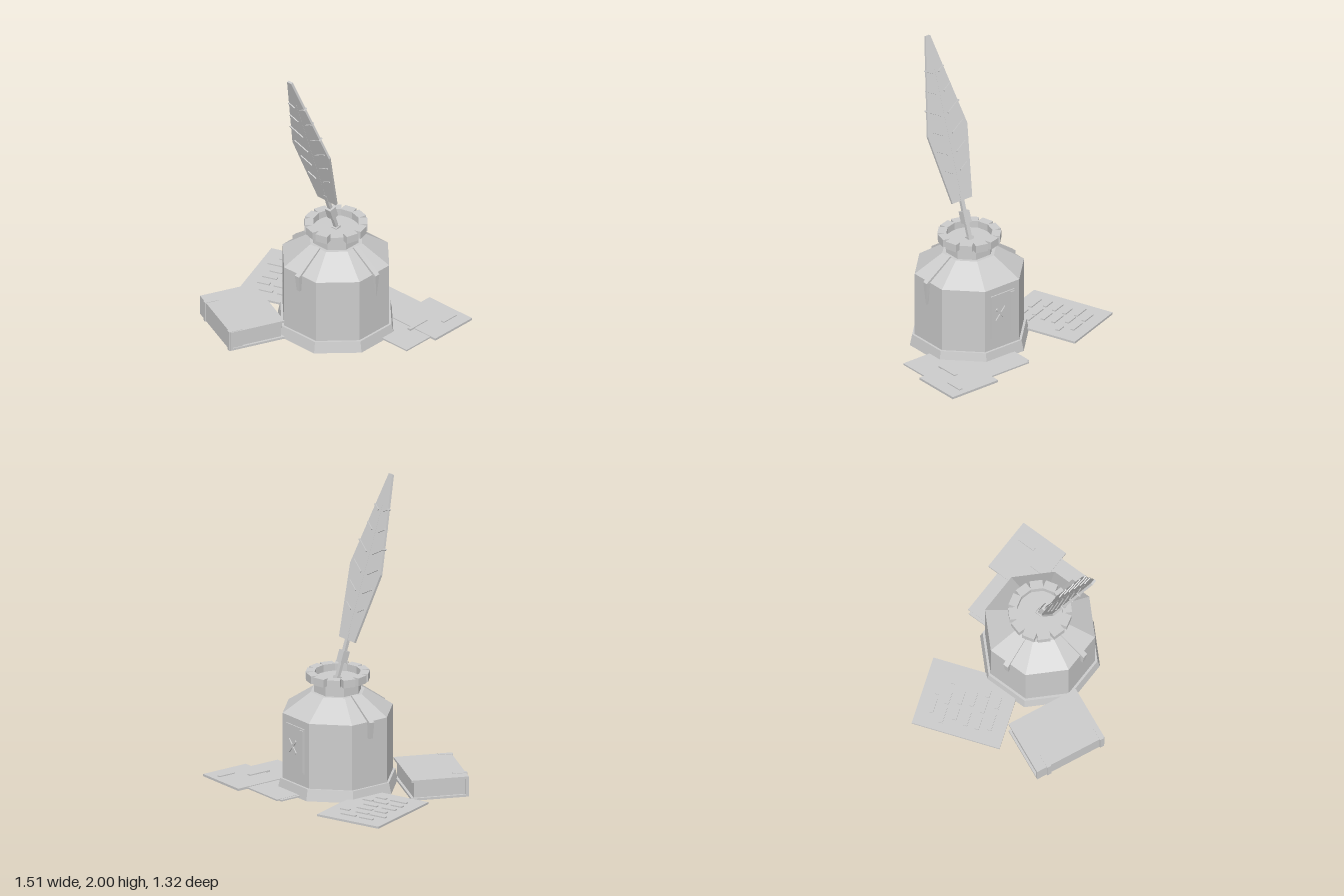
import * as THREE from 'three';

const gray = new THREE.MeshStandardMaterial({ color: 0xcccccc, flatShading: true });
gray.name = 'plain gray';

function add(parent, name, geometry, x = 0, y = 0, z = 0) {
  const mesh = new THREE.Mesh(geometry, gray);
  mesh.name = name;
  mesh.position.set(x, y, z);
  parent.add(mesh);
  return mesh;
}

function group(parent, name, x, y, z) {
  const g = new THREE.Group();
  g.name = name;
  g.position.set(x, y, z);
  parent.add(g);
  return g;
}

const box = (w, h, d) => new THREE.BoxGeometry(w, h, d);

// Box given by its low and high corners
function slab(parent, name, x0, x1, y0, y1, z0, z1) {
  return add(parent, name, box(x1 - x0, y1 - y0, z1 - z0), (x0 + x1) / 2, (y0 + y1) / 2, (z0 + z1) / 2);
}

// Octagonal frustum sized by its flats, flats facing the axes
function octagon(parent, name, bottom, top, y0, y1) {
  const k = 1 / Math.cos(Math.PI / 8);
  const geo = new THREE.CylinderGeometry(top * k, bottom * k, y1 - y0, 8).rotateY(Math.PI / 8);
  return add(parent, name, geo, 0, (y0 + y1) / 2, 0);
}

// Ink run that follows the shoulder and hangs down the wall, narrowing to its tip
function drip(parent, angle, bottom, tip) {
  const shape = new THREE.Shape([
    [0.15, 0.625], [0.33, 0.5], [0.33, bottom], [0.352, bottom], [0.363, 0.51], [0.17, 0.645],
  ].map(p => new THREE.Vector2(...p)));
  const geo = new THREE.ExtrudeGeometry(shape, { depth: 0.036, bevelEnabled: false }).translate(0, 0, -0.018);
  const pos = geo.attributes.position;
  for (let i = 0; i < pos.count; i++) {
    if (pos.getY(i) < 0.49) pos.setZ(i, pos.getZ(i) * tip);
  }
  geo.computeVertexNormals();
  add(parent, 'inkDrip', geo).rotation.y = angle;
}

function buildBottle(root) {
  const bottle = group(root, 'inkBottle', 0.135, 0, -0.055);
  octagon(bottle, 'base', 0.365, 0.35, 0, 0.075);
  octagon(bottle, 'body', 0.335, 0.335, 0.07, 0.51);
  octagon(bottle, 'shoulder', 0.335, 0.165, 0.51, 0.635);
  octagon(bottle, 'neck', 0.143, 0.143, 0.63, 0.715);

  // Rim of twelve blocks
  const rim = group(bottle, 'rim', 0, 0.736, 0);
  for (let i = 0; i < 12; i++) {
    const geo = box(0.082, 0.052, 0.057).translate(0, 0, 0.172);
    add(rim, 'rimBlock', geo).rotation.y = (i + 0.5) * Math.PI / 6;
  }

  drip(bottle, 0, 0.35, 0.15);
  drip(bottle, -Math.PI / 2, 0.4, 0.75);
  drip(bottle, Math.PI, 0.4, 0.75);

  // Label on the back
  const label = group(bottle, 'label', 0, 0.31, -0.335);
  slab(label, 'labelPlate', -0.095, 0.095, -0.15, 0.15, -0.008, 0.004);
  slab(label, 'labelStrip', -0.09, -0.06, -0.14, 0.14, -0.016, 0);
  for (const s of [-1, 1]) {
    add(label, 'crossBar', box(0.11, 0.014, 0.012), 0.02, 0.01, -0.01).rotation.z = s * 0.85;
  }
}

function buildQuill(root) {
  const quill = group(root, 'quill', 0.135, 0.85, -0.013);
  quill.rotation.x = 0.325;
  slab(quill, 'stem', -0.013, 0.013, -0.2, 0.16, -0.011, 0.011);
  slab(quill, 'collar', -0.025, 0.025, -0.04, 0.04, -0.025, 0.025);
  slab(quill, 'nib', -0.02, 0.02, -0.17, -0.13, -0.02, 0.02);

  // Vane
  const outline = new THREE.Shape([
    [-0.08, 0.111], [0.08, 0.111], [0.16, 0.58], [0.018, 1.21], [-0.018, 1.21], [-0.16, 0.58],
  ].map(p => new THREE.Vector2(...p)));
  const vane = new THREE.ExtrudeGeometry(outline, { depth: 0.016, bevelEnabled: false });
  add(quill, 'vane', vane.translate(0, 0, -0.008));
  slab(quill, 'vaneRib', -0.003, 0.003, 0.13, 1.0, -0.009, 0.009);

  // Mirrored barbs: height, middle x, length
  const barbs = [
    [0.32, 0.063, 0.07], [0.45, 0.075, 0.095], [0.58, 0.08, 0.115],
    [0.715, 0.08, 0.115], [0.85, 0.062, 0.07], [0.98, 0.045, 0.055],
  ];
  for (const [y, x, length] of barbs) {
    for (const s of [-1, 1]) {
      add(quill, 'barb', box(length, 0.01, 0.03), s * x, y, 0).rotation.z = s * 0.53;
    }
  }
}

function buildBook(root) {
  const book = group(root, 'book', -0.27, 0.002, 0.385);
  book.rotation.y = -0.41;
  slab(book, 'bottomCover', -0.245, 0.245, 0, 0.015, -0.187, 0.187);
  slab(book, 'topCover', -0.245, 0.245, 0.12, 0.135, -0.187, 0.187);
  slab(book, 'spine', -0.245, 0.245, 0.015, 0.12, 0.17, 0.187);
  slab(book, 'pages', -0.23, 0.23, 0.015, 0.12, -0.17, 0.17);
  for (const x of [-0.16, 0.225]) {
    slab(book, 'spineBand', x - 0.014, x + 0.014, -0.002, 0.138, 0.1, 0.195);
  }
}

function buildPapers(root) {
  // Written sheet
  const sheet = group(root, 'writtenSheet', -0.437, 0, -0.208);
  sheet.rotation.y = 0.349;
  slab(sheet, 'sheet', -0.232, 0.232, 0.01, 0.024, -0.293, 0.293);
  const words = [
    [[-0.08, 0.1], [0.054, 0.11]],
    [[-0.12, 0.115], [0, 0.09], [0.13, 0.065]],
    [[-0.09, 0.085], [0.032, 0.11]],
    [[-0.1, 0.1], [0.037, 0.1]],
    [[-0.11, 0.085], [0.014, 0.1], [0.11, 0.07]],
    [[-0.075, 0.12], [0.057, 0.075]],
  ];
  words.forEach((row, i) => {
    for (const [x, length] of row) {
      add(sheet, 'inkLine', box(length, 0.01, 0.026), x, 0.027, -0.197 + i * 0.078);
    }
  });

  // Overlapping loose sheets
  const loose = group(root, 'looseSheets', 0, 0, 0);
  slab(loose, 'lowerSheet', 0.055, 0.49, 0.008, 0.018, -0.565, -0.12);
  slab(loose, 'middleSheet', 0.075, 0.71, 0.01, 0.02, -0.585, -0.1);
  slab(loose, 'upperSheet', 0.385, 0.755, 0.01, 0.025, -0.66, -0.32);
  slab(loose, 'inkLine', 0.64, 0.665, 0.02, 0.032, -0.615, -0.495);
  slab(loose, 'inkLine', 0.545, 0.57, 0.018, 0.032, -0.445, -0.285);
}

export function createModel() {
  const root = new THREE.Group();
  root.name = 'writingSet';
  buildBottle(root);
  buildQuill(root);
  buildBook(root);
  buildPapers(root);
  return root;
}
